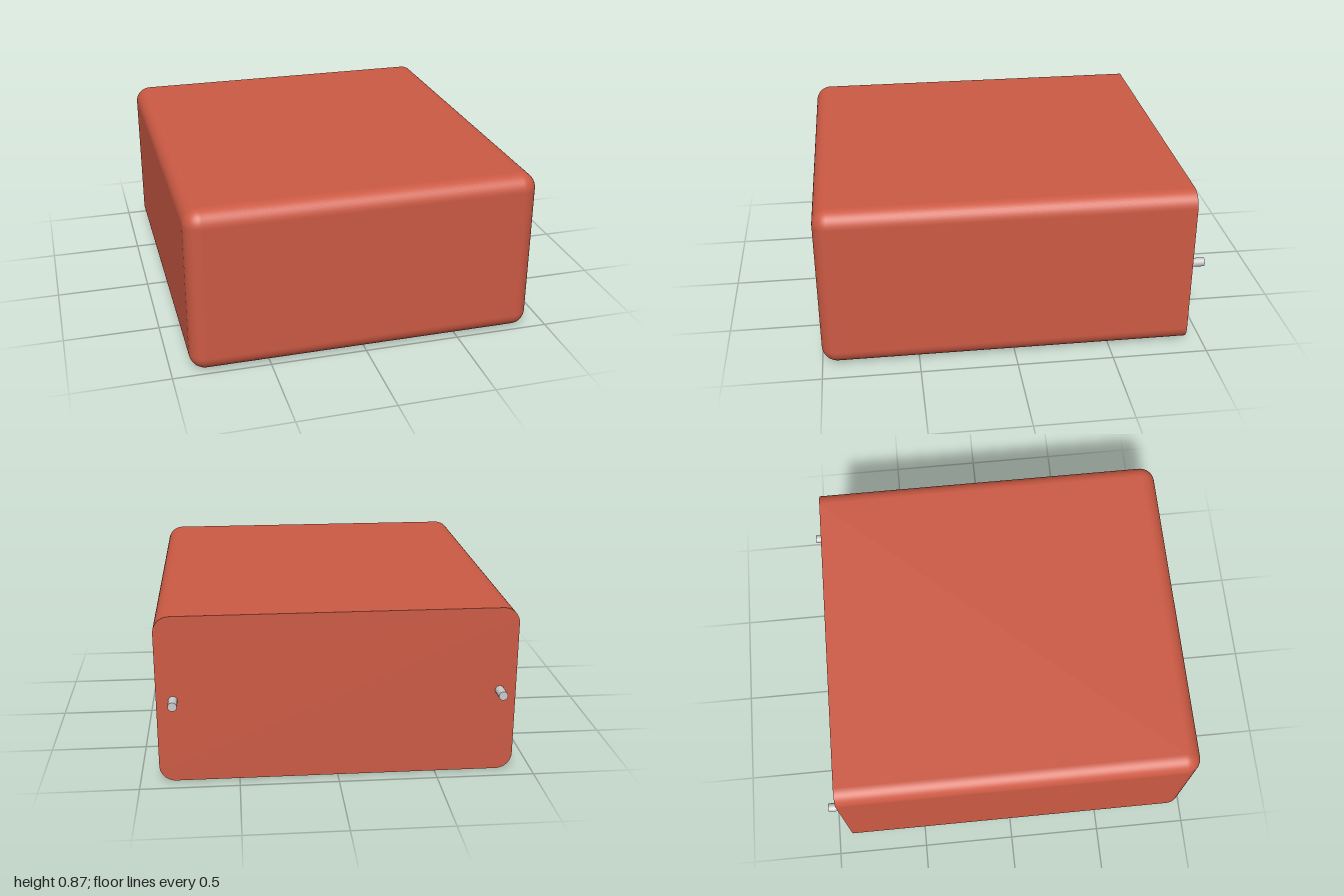
import * as THREE from 'three';
import { RoundedBoxGeometry } from 'three/addons/geometries/RoundedBoxGeometry.js';

const WIDTH = 1.806, HEIGHT = 0.873, RADIUS = 0.083;
const FRONT = 1, BACK = -0.917;

// Rounded box whose rear rounding is pressed flat into a sharp-edged back panel
function bodyGeometry() {
  const depth = FRONT - BACK + RADIUS;
  const geo = new RoundedBoxGeometry(WIDTH, HEIGHT, depth, 8, RADIUS);
  geo.translate(0, HEIGHT / 2, FRONT - depth / 2);
  const pos = geo.attributes.position, nor = geo.attributes.normal;
  for (let i = 0; i < pos.count; i += 3) {
    const corners = [i, i + 1, i + 2];
    if (corners.every((k) => pos.getZ(k) < BACK + 1e-4)) {
      for (const k of corners) {
        pos.setZ(k, BACK);
        nor.setXYZ(k, 0, 0, -1);
      }
    }
  }
  return geo;
}

export function createModel() {
  const group = new THREE.Group();
  const red = new THREE.MeshStandardMaterial({ color: 0xcc5a44 });
  const grey = new THREE.MeshStandardMaterial({ color: 0xcccccc });

  const body = new THREE.Mesh(bodyGeometry(), red);
  body.name = 'body';
  group.add(body);

  // Two short pins sticking out of the back panel
  const pinLength = BACK + 1;
  const pinGeo = new THREE.CylinderGeometry(0.023, 0.023, pinLength, 32).rotateX(Math.PI / 2);
  for (const side of [1, -1]) {
    const pin = new THREE.Mesh(pinGeo, grey);
    pin.name = side > 0 ? 'leftPin' : 'rightPin';
    pin.position.set(side * 0.82, HEIGHT / 2, BACK - pinLength / 2);
    group.add(pin);
  }
  return group;
}
